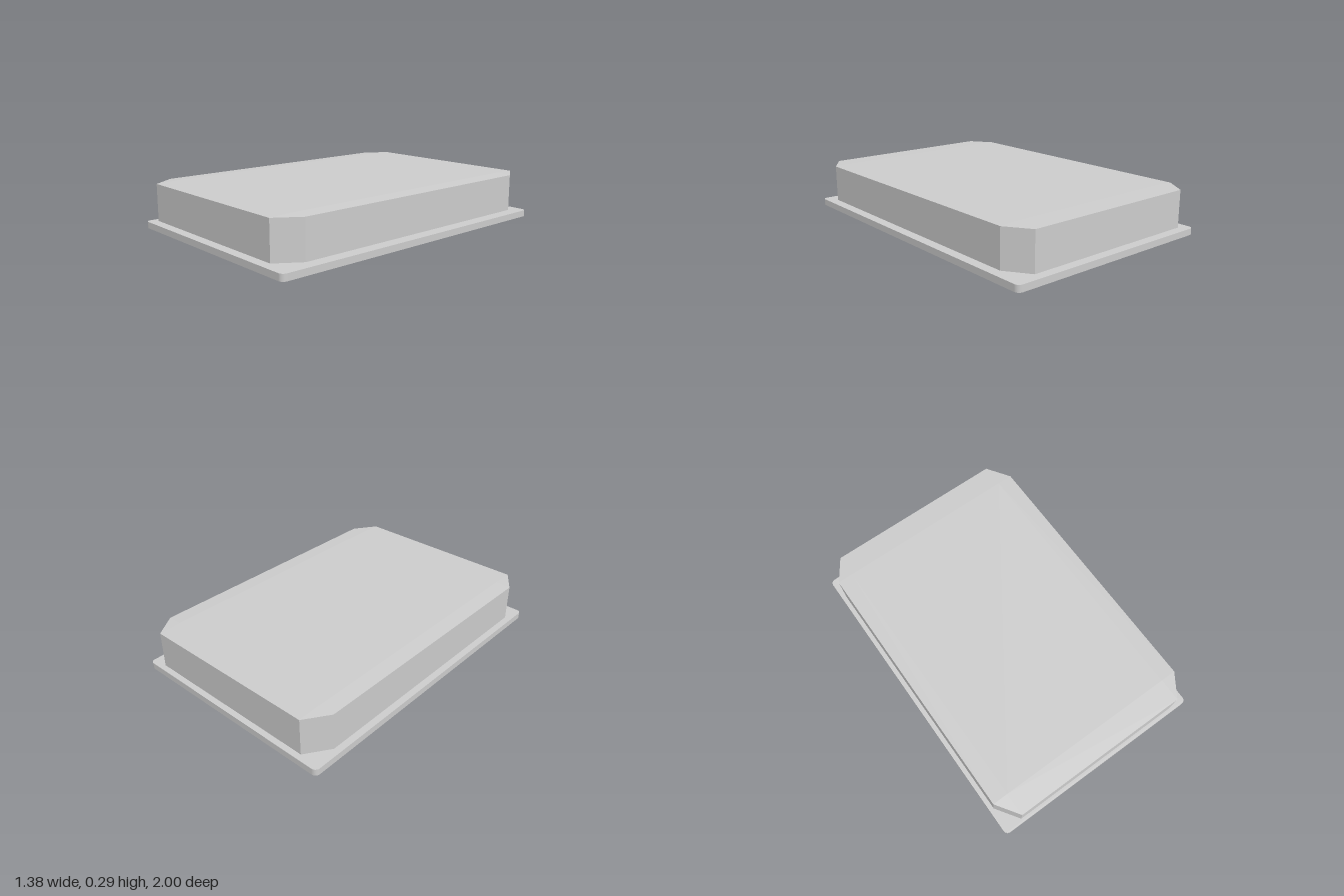
import * as THREE from 'three';
import { ConvexGeometry } from 'three/addons/geometries/ConvexGeometry.js';

const grey = new THREE.MeshStandardMaterial({ color: 0xcccccc, flatShading: true });

// Flat plate with rounded corners, lying on y = 0
function roundedPlate(width, depth, height, r) {
  const x = width / 2, z = depth / 2;
  const shape = new THREE.Shape();
  shape.moveTo(-x + r, -z);
  shape.absarc(x - r, -z + r, r, -Math.PI / 2, 0);
  shape.absarc(x - r, z - r, r, 0, Math.PI / 2);
  shape.absarc(-x + r, z - r, r, Math.PI / 2, Math.PI);
  shape.absarc(-x + r, -z + r, r, Math.PI, Math.PI * 1.5);
  const geometry = new THREE.ExtrudeGeometry(shape, { depth: height, bevelEnabled: false, curveSegments: 5 });
  return geometry.rotateX(-Math.PI / 2);
}

// Box chamfered on every edge: inner (ix, iz) faces top and bottom, outer (ox, oz) walls
function chamferedBox({ ix, iz, ox, oz, bottom, wallBottom, wallTop, top }) {
  const points = [];
  for (const sx of [-1, 1]) for (const sz of [-1, 1]) {
    for (const y of [bottom, top]) points.push(new THREE.Vector3(sx * ix, y, sz * iz));
    for (const y of [wallBottom, wallTop]) {
      points.push(new THREE.Vector3(sx * ox, y, sz * iz));
      points.push(new THREE.Vector3(sx * ix, y, sz * oz));
    }
  }
  return new ConvexGeometry(points);
}

export function createModel() {
  const group = new THREE.Group();

  // Thin base plate
  const base = new THREE.Mesh(roundedPlate(1.384, 2, 0.04, 0.03), grey);
  base.name = 'basePlate';

  // Lid block with cut corners, undercut below and a very shallow chamfer on top
  const lid = new THREE.Mesh(chamferedBox({
    ix: 0.568, iz: 0.836, ox: 0.665, oz: 0.978,
    bottom: 0.04, wallBottom: 0.06, wallTop: 0.287, top: 0.292,
  }), grey);
  lid.name = 'lid';

  group.add(base, lid);
  return group;
}
